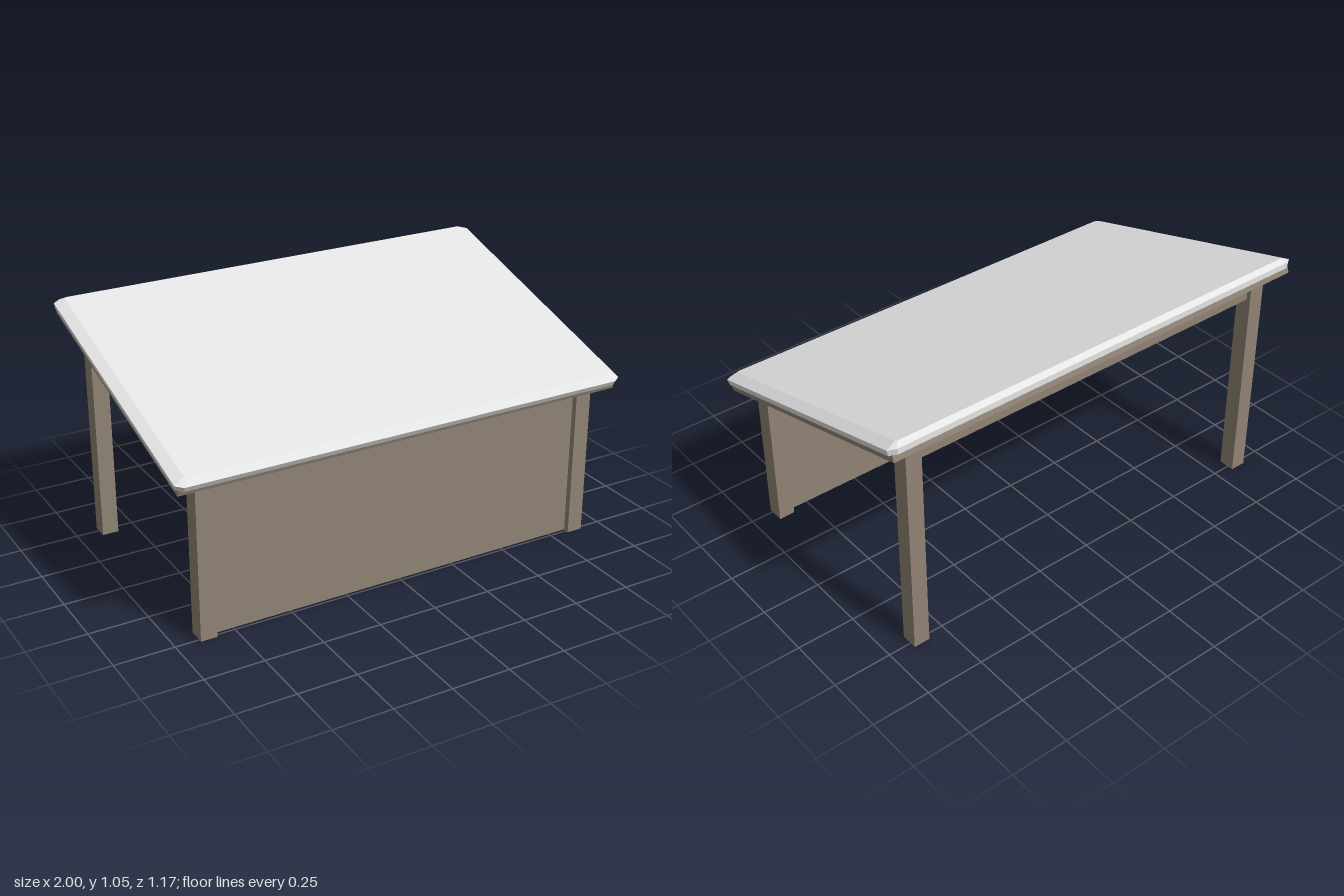
import * as THREE from 'three';

const PITCH = 0.285; // roof slope, falling towards the front

function box(name, material, x0, x1, y0, y1, z0, z1) {
  const mesh = new THREE.Mesh(new THREE.BoxGeometry(x1 - x0, y1 - y0, z1 - z0), material);
  mesh.name = name;
  mesh.position.set((x0 + x1) / 2, (y0 + y1) / 2, (z0 + z1) / 2);
  return mesh;
}

// Rectangle with cut corners, anticlockwise seen from above
function ring(y, x, zBack, zFront, cutX, cutZ) {
  return [
    [-x + cutX, y, zFront], [x - cutX, y, zFront],
    [x, y, zFront - cutZ], [x, y, zBack + cutZ],
    [x - cutX, y, zBack], [-x + cutX, y, zBack],
    [-x, y, zBack + cutZ], [-x, y, zFront - cutZ],
  ];
}

// Closed solid through a stack of rings, with flat faces
function loft(rings) {
  const pos = [];
  const tri = (a, b, c) => pos.push(...a, ...b, ...c);
  const n = rings[0].length;
  for (let r = 0; r < rings.length - 1; r++) {
    const lo = rings[r], hi = rings[r + 1];
    for (let i = 0; i < n; i++) {
      const j = (i + 1) % n;
      tri(lo[i], lo[j], hi[j]);
      tri(lo[i], hi[j], hi[i]);
    }
  }
  const bottom = rings[0], top = rings[rings.length - 1];
  for (let i = 1; i < n - 1; i++) {
    tri(top[0], top[i], top[i + 1]);
    tri(bottom[0], bottom[i + 1], bottom[i]);
  }
  const geometry = new THREE.BufferGeometry();
  geometry.setAttribute('position', new THREE.Float32BufferAttribute(pos, 3));
  geometry.computeVertexNormals();
  return geometry;
}

export function createModel() {
  const wood = new THREE.MeshStandardMaterial({ color: 0x8f8373 });
  wood.name = 'weathered wood';
  const pale = new THREE.MeshStandardMaterial({ color: 0xe4e4e4 });
  pale.name = 'pale roof covering';

  const model = new THREE.Group();
  model.name = 'openShelter';

  // Four posts, the back pair taller
  for (const side of [-1, 1]) {
    const x0 = side > 0 ? 0.83 : -0.9;
    const label = side > 0 ? 'Left' : 'Right';
    model.add(box('front' + label + 'Post', wood, x0, x0 + 0.07, 0, 0.69, 0.44, 0.515));
    model.add(box('back' + label + 'Post', wood, x0, x0 + 0.07, 0, 0.972, -0.527, -0.455));
  }

  // Wall between the front posts, beam between the back posts
  model.add(box('frontWall', wood, -0.835, 0.835, 0.003, 0.685, 0.465, 0.49));
  model.add(box('backBeam', wood, -0.835, 0.835, 0.88, 0.957, -0.508, -0.473));

  // Sloping roof: board deck with a bevelled covering
  const roof = new THREE.Group();
  roof.name = 'roof';
  roof.rotation.x = PITCH;
  roof.add(box('roofDeck', wood, -0.985, 0.985, 0.781, 0.814, -0.834, 0.345));
  const cover = new THREE.Mesh(loft([
    ring(0.809, 0.995, -0.844, 0.358, 0.03, 0.02),
    ring(0.834, 1.0, -0.851, 0.364, 0.03, 0.02),
    ring(0.853, 0.957, -0.832, 0.334, 0.01, 0.008),
  ]), pale);
  cover.name = 'roofCovering';
  roof.add(cover);
  model.add(roof);

  return model;
}
